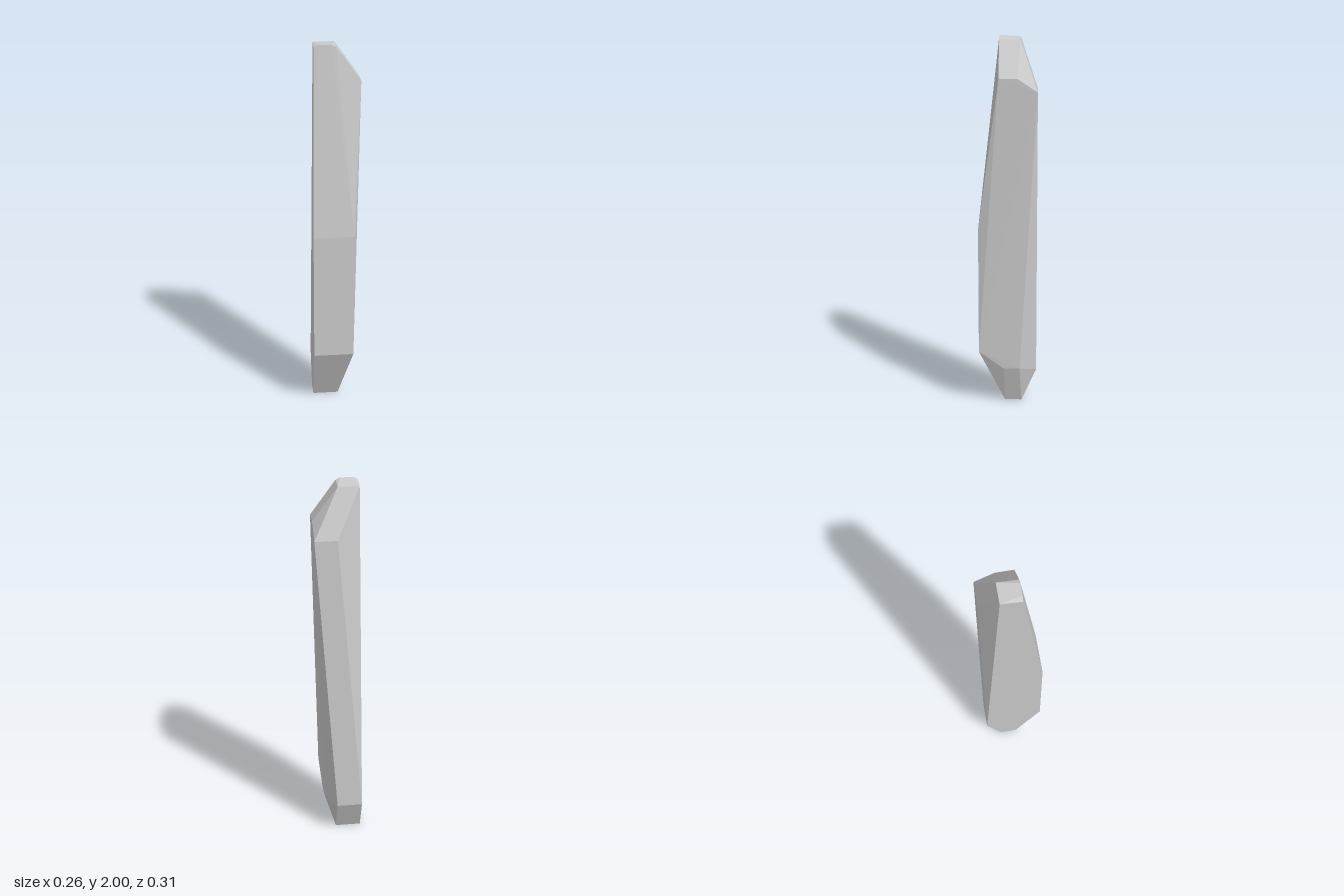
import * as THREE from 'three';
import { ConvexGeometry } from 'three/addons/geometries/ConvexGeometry.js';

// Faceted, tapering shard described by the corners of its outline.
export function createModel() {
  const group = new THREE.Group();
  group.name = 'facetedShard';

  const corners = [
    // slightly domed tip
    [-0.115, 1.99, 0.045], [-0.09, 2, 0.045], [-0.025, 2, 0.045], [-0.003, 1.99, 0.045],
    [-0.11, 1.99, -0.065], [0, 1.99, -0.065],
    // upper shoulder on the +x side and the back
    [0.127, 1.81, 0.045], [0.127, 1.81, -0.05],
    [0.127, 1.74, -0.155], [0.01, 1.74, -0.155],
    // front face knee and lower front edge
    [-0.13, 1, 0.155], [0.085, 1, 0.155],
    [-0.13, 0.31, 0.155], [0.082, 0.31, 0.155],
    // lower side and back corners
    [0.075, 0.21, 0.02], [0.075, 0.21, -0.065],
    [-0.125, 0.18, -0.155], [0.01, 0.18, -0.155],
    // foot
    [-0.125, 0, 0.015], [0.01, 0, 0.015],
    [-0.125, 0, -0.075], [0.01, 0, -0.075],
  ].map((c) => new THREE.Vector3(...c));

  const shard = new THREE.Mesh(
    new ConvexGeometry(corners),
    new THREE.MeshStandardMaterial({ color: 0xcccccc, flatShading: true })
  );
  shard.name = 'shard';
  group.add(shard);
  return group;
}
